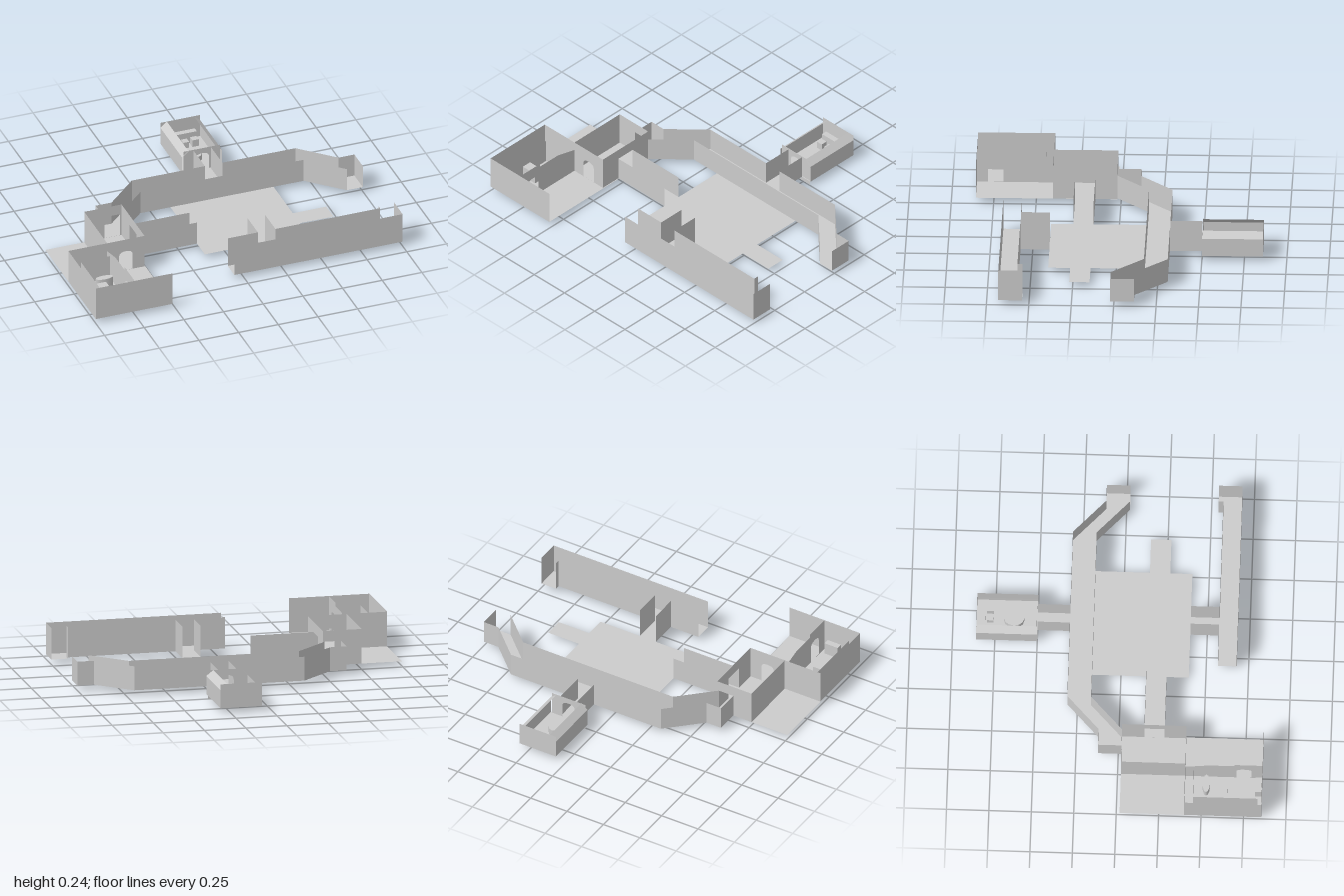
import * as THREE from 'three';

const grey = new THREE.MeshStandardMaterial({ color: 0xcccccc, side: THREE.DoubleSide });
grey.name = 'plain grey';
const Y = 0.03, LOW = 0.175, MID = 0.22, HIGH = 0.24;

export function createModel() {
  const root = new THREE.Group();
  root.name = 'floorPlan';

  const add = (name, geo) => {
    const m = new THREE.Mesh(geo, grey);
    m.name = name;
    root.add(m);
    return m;
  };
  // flat floor from an outline of [x, z] points
  const floor = (name, pts, y = Y) => {
    const s = new THREE.Shape(pts.map(([x, z]) => new THREE.Vector2(x, -z)));
    const m = add(name, new THREE.ShapeGeometry(s));
    m.rotation.x = -Math.PI / 2;
    m.position.y = y;
  };
  const rect = (x0, x1, z0, z1) => [[x0, z0], [x0, z1], [x1, z1], [x1, z0]];
  // sheet between two rows of [x, y, z] points
  const sheet = (name, a, b) => {
    const p = [];
    for (let i = 0; i + 1 < a.length; i++)
      p.push(...a[i], ...a[i + 1], ...b[i + 1], ...a[i], ...b[i + 1], ...b[i]);
    const g = new THREE.BufferGeometry();
    g.setAttribute('position', new THREE.Float32BufferAttribute(p, 3));
    g.computeVertexNormals();
    add(name, g);
  };
  // upright wall along a path of [x, z] points
  const wall = (name, pts, top, bottom = Y) =>
    sheet(name, pts.map(([x, z]) => [x, bottom, z]), pts.map(([x, z]) => [x, top, z]));
  // upright plate from a shape; along 'x' uses (x, y), along 'z' uses (z, y)
  const plate = (name, outline, axis, at, holes = []) => {
    const s = new THREE.Shape(outline.map(([u, v]) => new THREE.Vector2(axis === 'x' ? u : -u, v)));
    for (const [u0, u1, v0, v1, arched] of holes) {
      const [l, r] = axis === 'x' ? [u0, u1] : [-u1, -u0];
      const h = new THREE.Path();
      h.moveTo(l, v0);
      h.lineTo(r, v0);
      if (arched) {
        h.lineTo(r, v1 - 0.03);
        h.quadraticCurveTo(r, v1, (l + r) / 2, v1);
        h.quadraticCurveTo(l, v1, l, v1 - 0.03);
      } else {
        h.lineTo(r, v1);
        h.lineTo(l, v1);
      }
      h.closePath();
      s.holes.push(h);
    }
    const m = add(name, new THREE.ShapeGeometry(s, 6));
    if (axis === 'x') m.position.z = at;
    else { m.rotation.y = Math.PI / 2; m.position.x = at; }
  };
  const box = (name, x0, x1, y0, y1, z0, z1) =>
    add(name, new THREE.BoxGeometry(x1 - x0, y1 - y0, z1 - z0))
      .position.set((x0 + x1) / 2, (y0 + y1) / 2, (z0 + z1) / 2);
  const disc = (name, x, z, rx, rz, y0, y1) => {
    const m = add(name, new THREE.CylinderGeometry(1, 1, y1 - y0, 12));
    m.scale.set(rx, 1, rz);
    m.position.set(x, (y0 + y1) / 2, z);
  };

  // central hall and its stubs: floor only
  floor('hallFloor', rect(-0.14, 0.51, -0.17, 0.4));
  floor('eastStubFloor', rect(0.51, 0.72, 0.15, 0.27));

  // west corridor
  floor('westCorridorFloor', rect(-0.52, -0.14, 0.15, 0.27));
  for (const z of [0.15, 0.27]) wall('westCorridorWall', [[-0.52, z], [-0.14, z]], LOW);

  // bent back corridor
  const outer = [[-0.63, 0.02], [-0.63, -0.12], [-0.53, -0.12], [-0.33, -0.31],
    [0.7, -0.31], [0.9, -0.12], [1, -0.12], [1, 0.02]];
  const inner = [[0.9, 0.02], [0.7, -0.17], [-0.33, -0.17], [-0.53, 0.02]];
  floor('backCorridorFloor', [...outer, ...inner]);
  wall('backCorridorOuterWall', [...outer.slice(0, 4), [0.13, -0.31], [0.13, -0.5]], LOW);
  wall('backCorridorOuterWall', [[0.24, -0.5], [0.24, -0.31], ...outer.slice(4)], LOW);
  wall('backCorridorInnerWall', inner, LOW);
  floor('backLinkFloor', rect(0.13, 0.24, -0.5, -0.31));

  // front corridor
  floor('frontCorridorFloor', [[-0.06, 0.57], [-0.06, 0.68], [1, 0.68], [1, 0.54], [0.9, 0.54], [0.9, 0.57]]);
  floor('frontLinkFloor', rect(0.13, 0.24, 0.4, 0.57));
  wall('frontCorridorOuterWall', [[-0.06, 0.68], [1, 0.68], [1, 0.54]], MID);
  wall('frontCorridorInnerWall', [[-0.06, 0.57], [0.13, 0.57], [0.13, 0.4]], MID);
  wall('frontCorridorInnerWall', [[0.24, 0.4], [0.24, 0.57], [0.9, 0.57], [0.9, 0.54]], MID);

  // west block: floor, tall room and furnished room
  floor('westBlockFloor', rect(-1, -0.515, 0.02, 0.855));
  wall('tallRoomWall', [[-0.755, 0.4], [-0.755, 0.02]], HIGH);
  plate('tallRoomBackWall', [[-0.755, Y], [-0.52, Y], [-0.52, HIGH], [-0.755, HIGH]], 'x', 0.02,
    [[-0.629, -0.531, Y + 0.001, LOW]]);
  plate('tallRoomSideWall', [[0.02, Y], [0.4, Y], [0.4, HIGH], [0.02, HIGH]], 'z', -0.52,
    [[0.15, 0.27, Y + 0.001, LOW]]);
  plate('archWall', [[-0.755, Y], [-0.52, Y], [-0.52, HIGH], [-0.755, HIGH]], 'x', 0.4,
    [[-0.68, -0.595, Y + 0.001, 0.16, true]]);
  wall('furnishedRoomWall', [[-0.755, 0.4], [-1, 0.4], [-1, 0.855], [-0.515, 0.855]], HIGH);
  plate('furnishedRoomDoorWall', [[0.4, Y], [0.855, Y], [0.855, HIGH], [0.69, HIGH], [0.69, 0.22],
    [0.54, 0.22], [0.4, 0.185]], 'z', -0.755, [[0.7, 0.79, Y + 0.001, 0.165, true]]);

  // furnished room contents
  wall('innerPartition', [[-0.94, 0.83], [-0.94, 0.45], [-0.757, 0.45]], 0.18);
  disc('ovalTable', -0.82, 0.525, 0.055, 0.022, Y, 0.09);
  box('counter', -0.935, -0.835, Y, 0.1, 0.59, 0.65);
  box('cabinet', -0.87, -0.78, Y, 0.105, 0.815, 0.852);
  box('drain', -0.985, -0.955, 0.015, Y, 0.65, 0.68);

  // small back room with sloped side copings
  floor('backRoomFloor', rect(0.06, 0.31, -0.86, -0.5));
  wall('backRoomRearWall', [[0.06, -0.86], [0.31, -0.86]], LOW);
  for (const s of [-1, 1]) {
    const x = 0.185 + s * 0.125, xi = 0.185 + s * 0.085;
    wall('backRoomSideWall', [[x, -0.86], [x, -0.5]], 0.14);
    sheet('sideCoping', [[x, 0.14, -0.86], [x, 0.14, -0.5]], [[xi, LOW, -0.86], [xi, LOW, -0.5]]);
    box('backRoomSeat', 0.185 + s * 0.058 - 0.02, 0.185 + s * 0.058 + 0.02, Y, 0.075, -0.8, -0.76);
  }
  plate('backRoomDoorFrame', [[0.07, 0], [0.3, 0], [0.3, LOW], [0.07, LOW]], 'x', -0.505,
    [[0.145, 0.23, 0.01, 0.14, true]]);
  box('rearBench', 0.1, 0.27, Y, 0.1, -0.845, -0.81);
  box('stand', 0.167, 0.203, Y, 0.07, -0.8, -0.76);
  disc('roundTable', 0.185, -0.64, 0.046, 0.06, Y, 0.07);

  return root;
}
